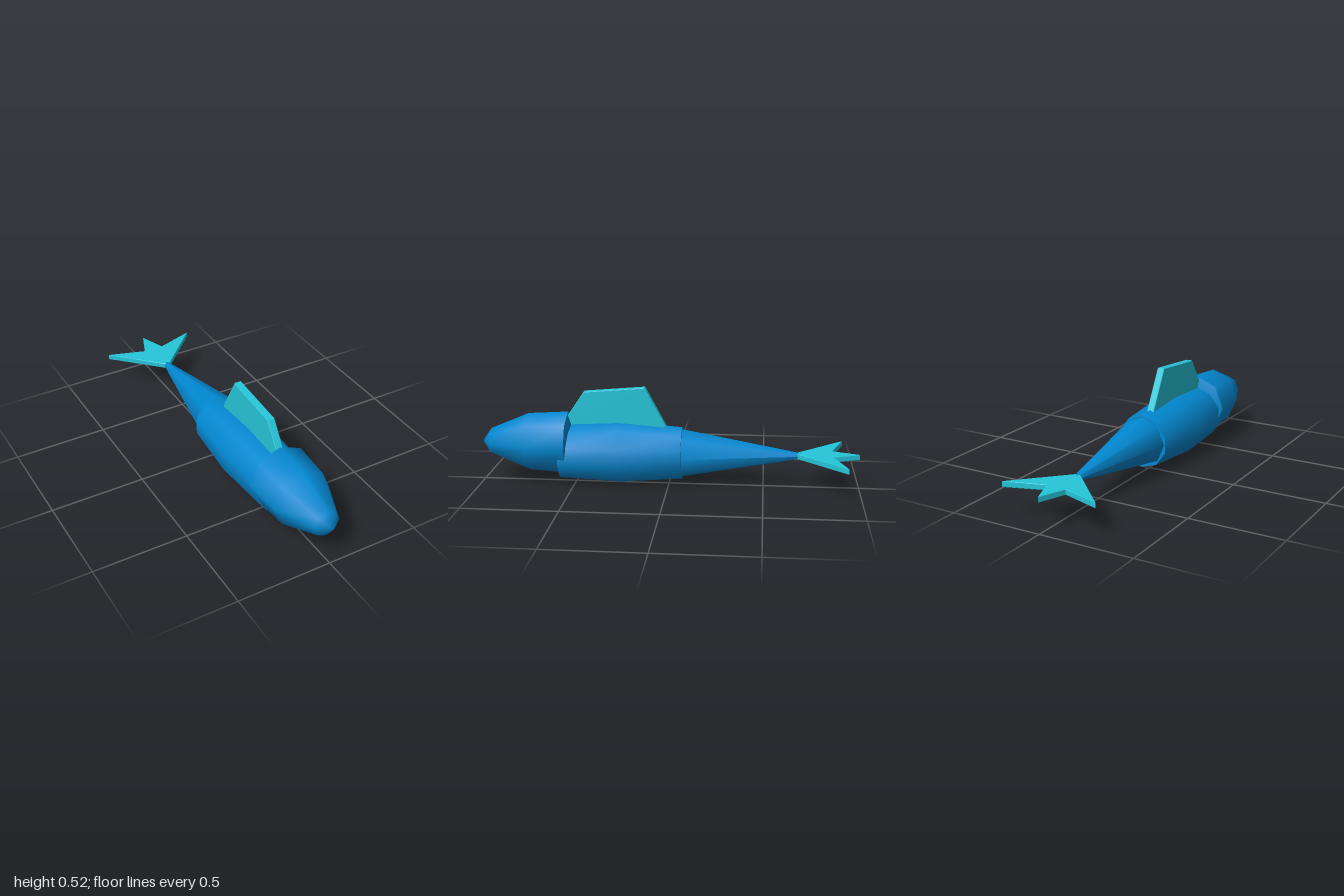
import * as THREE from 'three';
import { toCreasedNormals } from 'three/addons/utils/BufferGeometryUtils.js';

const blue = new THREE.MeshStandardMaterial({ color: 0x0288d1 });
blue.name = 'skin blue';
const cyan = new THREE.MeshStandardMaterial({ color: 0x26c6da });
cyan.name = 'fin cyan';

// Faceted round section along z; profile is [radius, z] from back to front
function roundPart(name, profile, sides, y) {
  const points = profile.map(([r, z]) => new THREE.Vector2(r, z));
  const lathe = new THREE.LatheGeometry(points, sides).rotateX(Math.PI / 2);
  const mesh = new THREE.Mesh(toCreasedNormals(lathe, 0.9), blue);
  mesh.name = name;
  mesh.position.y = y;
  return mesh;
}

// Flat fin with slightly softened edges, centred on its thickness
function finGeometry(outline, thickness) {
  const bevel = 0.003;
  const shape = new THREE.Shape(outline.map(([a, b]) => new THREE.Vector2(a, b)));
  return new THREE.ExtrudeGeometry(shape, {
    depth: thickness - 2 * bevel,
    bevelEnabled: true,
    bevelThickness: bevel,
    bevelSize: bevel,
    bevelOffset: -bevel,
    bevelSegments: 1,
  }).translate(0, 0, bevel - thickness / 2);
}

export function createModel() {
  const fish = new THREE.Group();
  fish.name = 'fish';

  // Head, body and tapering tail
  fish.add(
    roundPart('head', [[0, 0.48], [0.17, 0.538], [0.157, 0.75], [0.07, 0.955], [0.006, 1], [0, 1]], 8, 0.214),
    roundPart('body', [[0, -0.07], [0.142, -0.07], [0.168, 0.26], [0.152, 0.575], [0, 0.575]], 10, 0.171),
    roundPart('tail', [[0.004, -0.755], [0.132, -0.06], [0, -0.06]], 8, 0.172),
  );

  // Back fin, outline given as [z, y]
  const backFin = new THREE.Mesh(
    finGeometry([[0.575, 0.31], [0.45, 0.496], [0.127, 0.524], [0, 0.29], [0.1, 0.25], [0.5, 0.25]], 0.04),
    cyan,
  );
  backFin.name = 'backFin';
  backFin.rotation.y = -Math.PI / 2;
  fish.add(backFin);

  // Horizontal forked tail fin, outline given as [x, -z]
  const tailFin = new THREE.Mesh(
    finGeometry([[0, 0.66], [0.26, 0.925], [0.055, 0.86], [0, 1], [-0.055, 0.86], [-0.26, 0.925]], 0.03),
    cyan,
  );
  tailFin.name = 'tailFin';
  tailFin.rotation.x = -Math.PI / 2;
  tailFin.position.y = 0.172;
  fish.add(tailFin);

  return fish;
}
